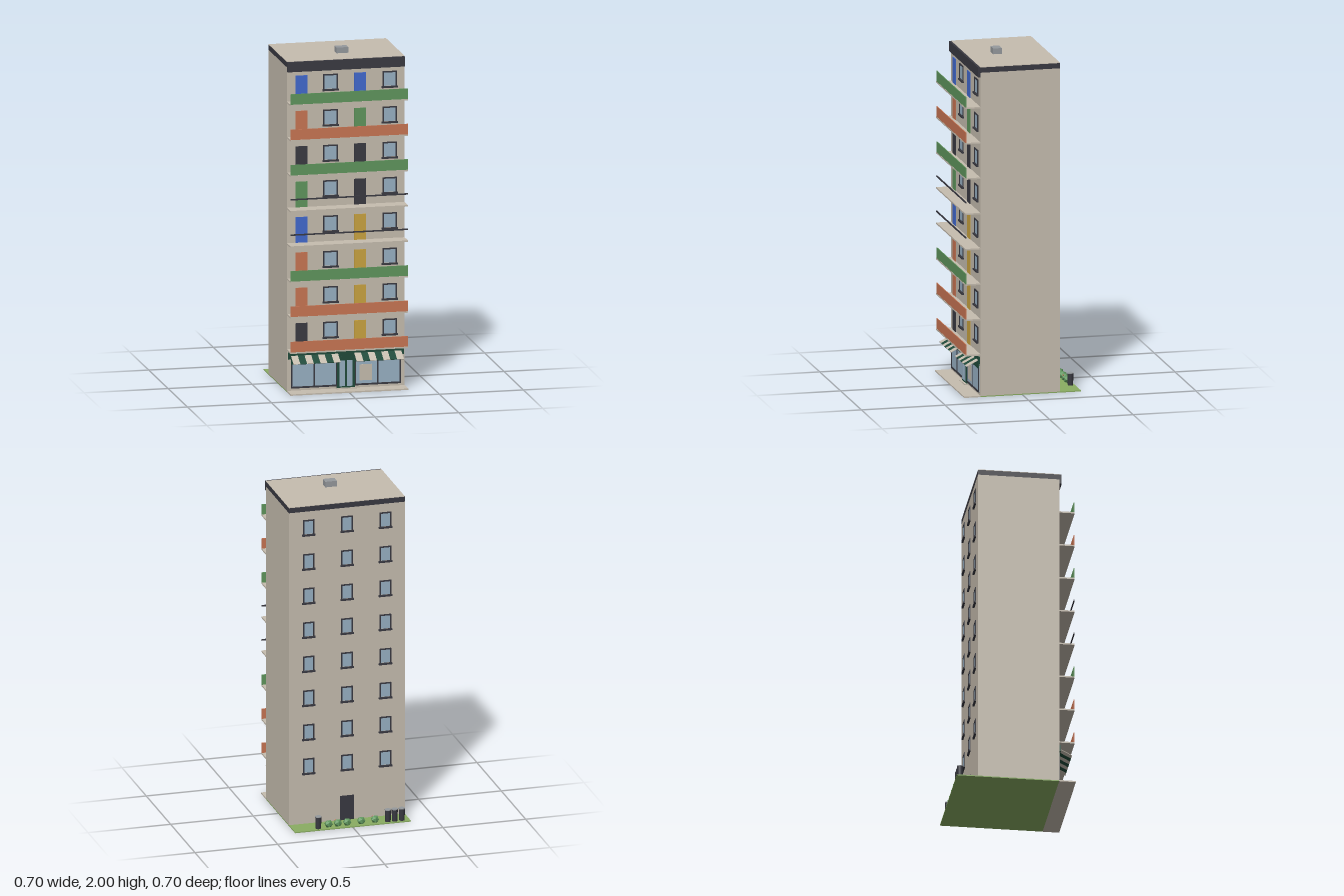
import * as THREE from 'three';

const mat = (name, color, side = THREE.FrontSide) => {
  const m = new THREE.MeshStandardMaterial({ color, side });
  m.name = name;
  return m;
};

export function createModel() {
  const root = new THREE.Group();
  root.name = 'apartmentBlock';

  const wall = mat('wall beige', 0xc6bdaf, THREE.DoubleSide);
  const dark = mat('charcoal', 0x393941);
  const green = mat('leaf green', 0x5f965d);
  const orange = mat('terracotta', 0xc87553);
  const blue = mat('blue', 0x4169cf);
  const yellow = mat('ochre', 0xcaa340);
  const glass = mat('glass', 0x98b1c4);
  const lawnMat = mat('lawn green', 0x8aad62);
  const grey = mat('grey', 0x95999d);
  const shop = mat('shop green', 0x1f4a3a, THREE.DoubleSide);

  const add = (name, geo, m, x = 0, y = 0, z = 0, parent = root) => {
    const mesh = new THREE.Mesh(geo, m);
    mesh.name = name;
    mesh.position.set(x, y, z);
    parent.add(mesh);
    return mesh;
  };
  // Box given by its limits on each axis
  const box = (name, m, [x0, x1], [y0, y1], [z0, z1], parent = root) =>
    add(name, new THREE.BoxGeometry(x1 - x0, y1 - y0, z1 - z0), m,
      (x0 + x1) / 2, (y0 + y1) / 2, (z0 + z1) / 2, parent);

  const W = 0.35, FRONT = 0.252, BACK = -0.225;

  // Ground and main block
  box('lawn', lawnMat, [-W, W], [0, 0.006], [-0.35, 0.25]);
  box('pavement', wall, [-W, W], [0, 0.008], [0.25, 0.348]);
  box('block', wall, [-W, W], [0.006, 1.932], [BACK, FRONT]);
  box('parapet', dark, [-W, W], [1.932, 1.963], [BACK, FRONT]);
  box('roof', wall, [-W, W], [1.963, 1.966], [BACK, FRONT]);
  box('cornice', dark, [-W, W], [1.905, 1.964], [FRONT, 0.265]);
  box('roofVent', grey, [-0.02, 0.05], [1.966, 2], [0.047, 0.1]);

  // Framed window with a sill, facing +z from its group origin
  const addWindow = (x, y, z, w, turn) => {
    const g = new THREE.Group();
    g.name = 'window';
    g.position.set(x, y, z);
    g.rotation.y = turn;
    const h = 0.095, t = 0.008, a = w / 2;
    box('pane', glass, [-a + t, a - t], [t, h - t], [0, 0.002], g);
    for (const s of [-1, 1]) {
      const e = s * (a - t / 2);
      box('jamb', dark, [e - t / 2, e + t / 2], [0, h], [0, 0.005], g);
    }
    box('lintel', dark, [-a, a], [h - t, h], [0, 0.005], g);
    box('sill', dark, [-a - 0.005, a + 0.005], [-0.004, 0.006], [0, 0.011], g);
    root.add(g);
  };

  // Floors: balcony, coloured doors and windows
  const fronts = [orange, orange, green, null, null, green, orange, green];
  const leftDoors = [dark, orange, orange, blue, green, dark, orange, blue];
  const rightDoors = [yellow, yellow, yellow, yellow, dark, dark, green, blue];
  for (let i = 0; i < 8; i++) {
    const y = 0.256 + i * 0.2104;
    box('balconySlab', wall, [-W, W], [y - 0.009, y], [FRONT, 0.341]);
    if (fronts[i]) box('balconyFront', fronts[i], [-W, W], [y, y + 0.062], [0.335, 0.34]);
    else box('balconyRail', dark, [-W, W], [y + 0.062, y + 0.07], [0.335, 0.341]);
    box('balconyDoor', leftDoors[i], [-0.3, -0.23], [y, y + 0.152], [FRONT, FRONT + 0.004]);
    box('balconyDoor', rightDoors[i], [0.05, 0.12], [y, y + 0.152], [FRONT, FRONT + 0.004]);
    for (const x of [-0.092, 0.261]) addWindow(x, y + 0.057, FRONT, 0.086, 0);
    for (const x of [-0.232, 0, 0.232]) addWindow(x, y + 0.057, BACK, 0.07, Math.PI);
  }

  // Back door
  box('backDoor', dark, [-0.042, 0.042], [0.006, 0.155], [BACK - 0.005, BACK]);

  // Shop front: sign band, display windows, awnings
  box('shopSign', shop, [-0.345, 0.345], [0.195, 0.235], [FRONT, FRONT + 0.008]);
  for (const x0 of [-0.326, 0.05]) {
    const x1 = x0 + 0.276, mid = (x0 + x1) / 2, z = FRONT;
    box('shopGlass', glass, [x0, x1], [0.026, 0.18], [z, z + 0.003]);
    for (const x of [x0 + 0.004, mid, x1 - 0.004])
      box('shopMullion', dark, [x - 0.004, x + 0.004], [0.026, 0.17], [z, z + 0.006]);
    box('shopHead', shop, [x0, x1], [0.164, 0.195], [z, z + 0.007]);
    box('shopCill', dark, [x0, x1], [0.022, 0.032], [z, z + 0.007]);
    const n = 7, sw = 0.28 / n, run = 0.07, drop = 0.036;
    for (let k = 0; k < n; k++) {
      const geo = new THREE.BoxGeometry(sw, 0.003, Math.hypot(run, drop));
      const stripe = add('awningStripe', geo, k % 2 ? shop : wall,
        x0 - 0.002 + sw * (k + 0.5), 0.198, z + 0.006 + run / 2);
      stripe.rotation.x = Math.atan2(drop, run);
    }
  }
  box('poster', wall, [0.08, 0.155], [0.05, 0.145], [FRONT + 0.003, FRONT + 0.005]);

  // Shop entrance with double doors
  box('entranceFrame', shop, [-0.055, 0.052], [0.008, 0.197], [FRONT, FRONT + 0.009]);
  for (const x of [-0.024, 0.021])
    box('entranceGlass', glass, [x - 0.016, x + 0.016], [0.022, 0.175], [FRONT + 0.009, FRONT + 0.011]);
  box('doorstep', wall, [-0.06, 0.06], [0.008, 0.013], [FRONT, 0.275]);

  // Bins with lids
  for (const x of [-0.303, -0.26, -0.219, 0.202]) {
    add('bin', new THREE.CylinderGeometry(0.018, 0.016, 0.07, 10), dark, x, 0.041, -0.324);
    add('binLid', new THREE.CylinderGeometry(0.019, 0.019, 0.005, 10), grey, x, 0.0785, -0.324);
  }

  // Shrubs, two of them with a flower
  const bush = new THREE.IcosahedronGeometry(0.025, 0);
  for (const x of [-0.141, -0.058, 0.027, 0.083, 0.139]) add('shrub', bush, green, x, 0.027, -0.322);
  for (const x of [-0.13, 0.095])
    add('flower', new THREE.IcosahedronGeometry(0.005, 0), orange, x, 0.042, -0.308);

  return root;
}
